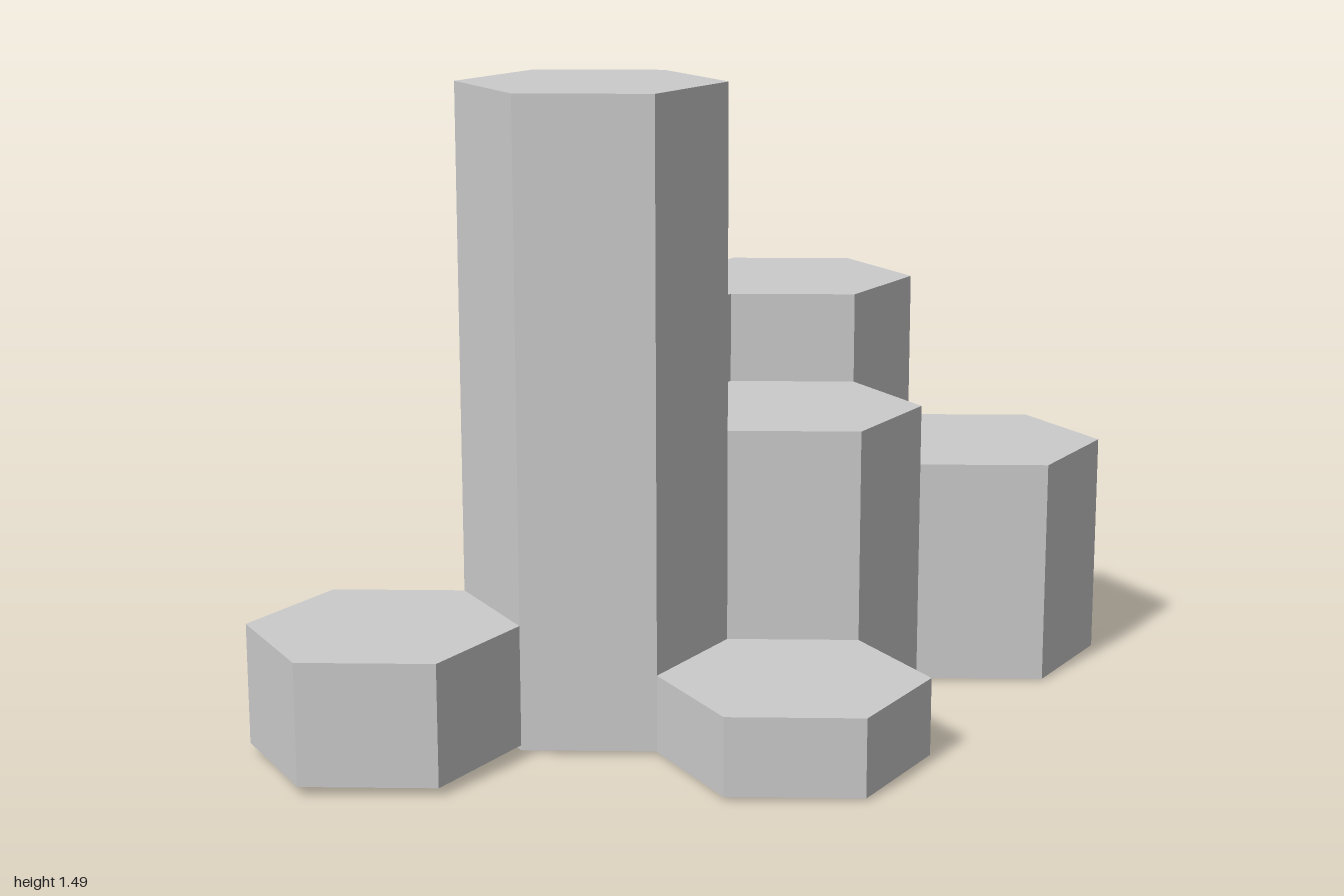
import * as THREE from 'three';

const R = 2 / 6.5;                     // hexagon corner radius: 4 half-widths and 3 steps span 2 units
const STEP_X = 1.5 * R;                // spacing between columns of the honeycomb
const STEP_Z = R * Math.sqrt(3) / 2;   // half a hexagon's depth

export function createModel() {
  const model = new THREE.Group();
  const material = new THREE.MeshStandardMaterial({ color: 0xcccccc, flatShading: true });

  // One upright hexagonal pillar with corners pointing along x
  function pillar(name, column, row, bottom, top) {
    const geometry = new THREE.CylinderGeometry(R, R, top - bottom, 6);
    geometry.rotateY(Math.PI / 6);
    const mesh = new THREE.Mesh(geometry, material);
    mesh.name = name;
    mesh.position.set(column * STEP_X, (top + bottom) / 2, row * STEP_Z);
    model.add(mesh);
  }

  // name, honeycomb column, row, underside, top
  pillar('lowRightPillar', -1.5, 2, 0.02, 0.302);
  pillar('tallPillar', -0.5, 1, 0.008, 1.493);
  pillar('backRightPillar', -0.5, -1, 0, 0.912);
  pillar('lowFrontPillar', 0.5, 2, 0.006, 0.188);
  pillar('centrePillar', 0.5, 0, 0, 0.69);
  pillar('backPillar', 0.5, -2, 0.004, 0.912);
  pillar('leftPillar', 1.5, -1, 0.004, 0.545);

  return model;
}
